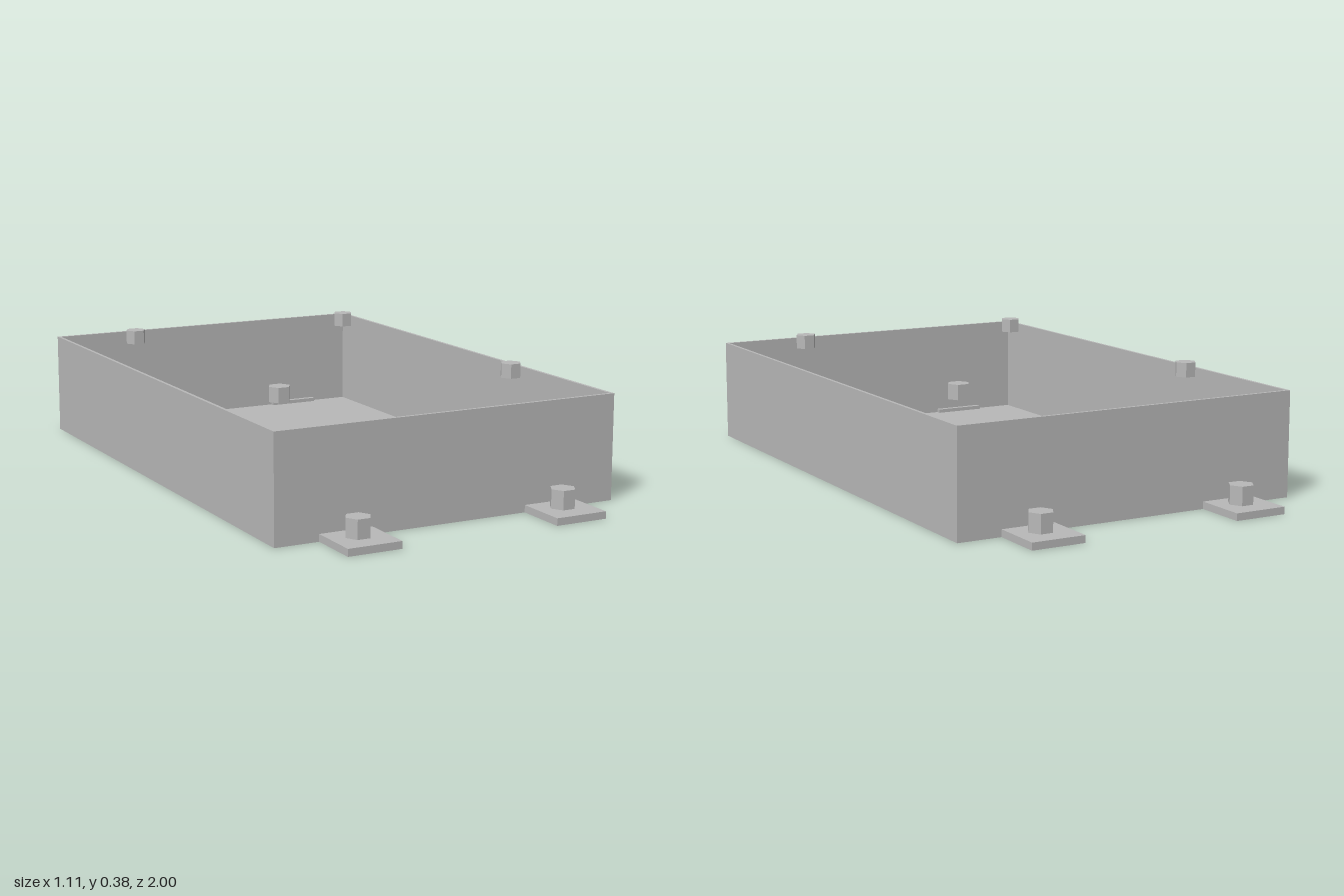
import * as THREE from 'three';

export function createModel() {
  const model = new THREE.Group();
  model.name = 'mountingTray';
  const grey = new THREE.MeshStandardMaterial({ color: 0xb8b8b8 });
  grey.name = 'plain grey';

  const W = 1.112, D = 1.67, H = 0.323; // tray outer size
  const T = 0.01;                       // sheet thickness
  const TAB_H = 0.022;

  function add(name, geometry, x, y, z) {
    const mesh = new THREE.Mesh(geometry, grey);
    mesh.name = name;
    mesh.position.set(x, y, z);
    model.add(mesh);
    return mesh;
  }

  // Hexagonal post with corners pointing along x
  function hexPost(name, radius, bottom, top, x, z) {
    const g = new THREE.CylinderGeometry(radius, radius, top - bottom, 6).toNonIndexed();
    g.computeVertexNormals();
    g.rotateY(Math.PI / 2);
    add(name, g, x, (bottom + top) / 2, z);
  }

  // Open tray: floor and four thin walls
  add('floor', new THREE.BoxGeometry(W, T, D), 0, T / 2, 0);
  const wallH = H - T, wallY = T + wallH / 2;
  for (const s of [-1, 1]) {
    add('sideWall', new THREE.BoxGeometry(T, wallH, D), s * (W - T) / 2, wallY, 0);
    add('endWall', new THREE.BoxGeometry(W - 2 * T, wallH, T), 0, wallY, s * (D - T) / 2);
  }

  // Mounting tabs with bolts, and the lid bolts above the rim
  for (const sx of [-1, 1]) {
    for (const sz of [-1, 1]) {
      add('mountingTab', new THREE.BoxGeometry(0.167, TAB_H, 0.192), sx * 0.335, TAB_H / 2, sz * 0.904);
      hexPost('tabBolt', 0.039, TAB_H, 0.079, sx * 0.335, sz * 0.903);
      hexPost('lidBolt', 0.033, 0.335, 0.379, sx * 0.39, sz * 0.535);
    }
  }
  return model;
}
